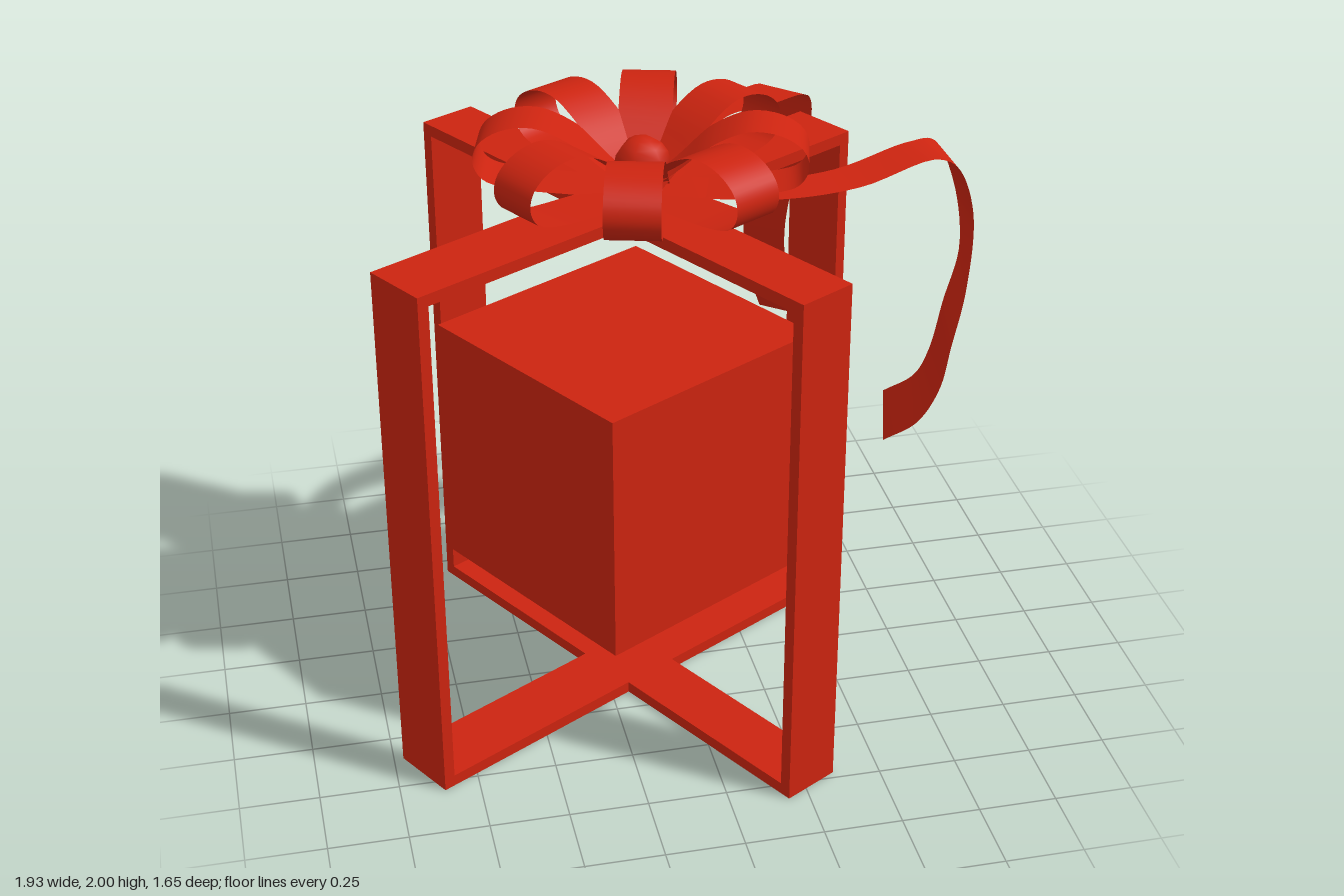
import * as THREE from 'three';

const red = new THREE.MeshStandardMaterial({ color: 0xcc2410, side: THREE.DoubleSide });
red.name = 'red';

const CX = -0.165, CZ = 0.02; // shared centre of the box and bands

function part(geometry, name) {
  const mesh = new THREE.Mesh(geometry, red);
  mesh.name = name;
  return mesh;
}

// Smooth strip stretched between two edge curves
function ribbon(edgeA, edgeB, steps) {
  const curves = [edgeA, edgeB].map(
    (pts) => new THREE.CatmullRomCurve3(pts.map((p) => new THREE.Vector3(...p))));
  const positions = [], index = [];
  for (let i = 0; i <= steps; i++) {
    for (const c of curves) positions.push(...c.getPoint(i / steps).toArray());
    if (i < steps) {
      const k = i * 2;
      index.push(k, k + 1, k + 2, k + 1, k + 3, k + 2);
    }
  }
  const g = new THREE.BufferGeometry();
  g.setAttribute('position', new THREE.Float32BufferAttribute(positions, 3));
  g.setIndex(index);
  g.computeVertexNormals();
  return g;
}

// Upright rectangular band, open in the middle
function band(length, width, angle, name) {
  const h = 1.74, t = 0.038, l = length / 2;
  const rect = (Type, x, y0, y1) => new Type().moveTo(-x, y0).lineTo(x, y0)
    .lineTo(x, y1).lineTo(-x, y1).closePath();
  const shape = rect(THREE.Shape, l, 0, h);
  shape.holes.push(rect(THREE.Path, l - t, t, h - t));
  const g = new THREE.ExtrudeGeometry(shape, { depth: width, bevelEnabled: false });
  g.translate(0, 0, -width / 2);
  const mesh = part(g, name);
  mesh.position.set(CX, 0, CZ);
  mesh.rotation.y = angle;
  return mesh;
}

export function createModel() {
  const model = new THREE.Group();
  model.name = 'giftBox';

  // Box
  const box = part(new THREE.BoxGeometry(0.83, 0.83, 0.83), 'box');
  box.position.set(CX, 0.875, CZ);
  box.rotation.y = Math.PI / 6;
  model.add(box);

  // Two crossing bands
  model.add(band(1.733, 0.22, Math.PI / 6, 'longBand'));
  model.add(band(1.737, 0.195, -Math.PI / 3, 'crossBand'));

  // Bow: eight loops around a knot
  const bow = new THREE.Group();
  bow.name = 'bow';
  bow.position.set(-0.11, 0, 0.035);
  const profile = [[0, 1.79], [0.1, 1.86], [0.21, 1.95], [0.32, 1.997], [0.42, 1.985],
    [0.485, 1.94], [0.502, 1.885], [0.475, 1.83], [0.4, 1.803], [0.2, 1.785], [0, 1.77]];
  const side = (z) => profile.map(([x, y]) => [x, y, z]);
  const loopGeometry = ribbon(side(-0.083), side(0.083), 40);
  for (let i = 0; i < 8; i++) {
    const loop = part(loopGeometry, 'bowLoop');
    loop.rotation.y = -THREE.MathUtils.degToRad(15 + i * 45);
    bow.add(loop);
  }
  const knot = part(new THREE.SphereGeometry(0.087, 6, 8), 'knot');
  knot.position.y = 1.855;
  bow.add(knot);
  model.add(bow);

  // Ribbon tail falling on the left
  model.add(part(ribbon(
    [[-0.1, 1.78, -0.05], [0.1, 1.785, 0.03], [0.3, 1.78, 0.07], [0.5, 1.77, 0.02],
      [0.78, 1.77, -0.13], [0.88, 1.75, -0.17], [0.945, 1.61, -0.15], [0.95, 1.42, -0.07],
      [0.895, 1.24, -0.04], [0.87, 1.05, -0.075], [0.845, 0.92, -0.14], [0.78, 0.8, -0.26]],
    [[-0.1, 1.78, 0.1], [0.1, 1.785, 0.19], [0.3, 1.78, 0.22], [0.54, 1.77, 0.165],
      [0.83, 1.77, 0.02], [0.91, 1.72, 0.0], [0.958, 1.57, 0.02], [0.925, 1.34, 0.09],
      [0.88, 1.15, 0.11], [0.86, 0.99, 0.085], [0.82, 0.82, 0.0], [0.755, 0.665, -0.16]],
    70), 'leftTail'));

  // Ribbon tail falling at the back
  model.add(part(ribbon(
    [[-0.16, 1.78, 0.0], [0.0, 1.785, -0.22], [0.1, 1.79, -0.41], [0.21, 1.79, -0.535],
      [0.33, 1.785, -0.61], [0.45, 1.77, -0.685], [0.47, 1.7, -0.7], [0.43, 1.45, -0.73],
      [0.41, 1.23, -0.76], [0.43, 1.05, -0.79], [0.49, 0.87, -0.83]],
    [[-0.03, 1.78, 0.06], [0.12, 1.785, -0.15], [0.2, 1.79, -0.33], [0.28, 1.79, -0.42],
      [0.42, 1.785, -0.48], [0.57, 1.77, -0.565], [0.59, 1.7, -0.58], [0.55, 1.45, -0.63],
      [0.53, 1.23, -0.665], [0.55, 1.05, -0.685], [0.6, 0.885, -0.705]],
    60), 'backTail'));

  return model;
}
